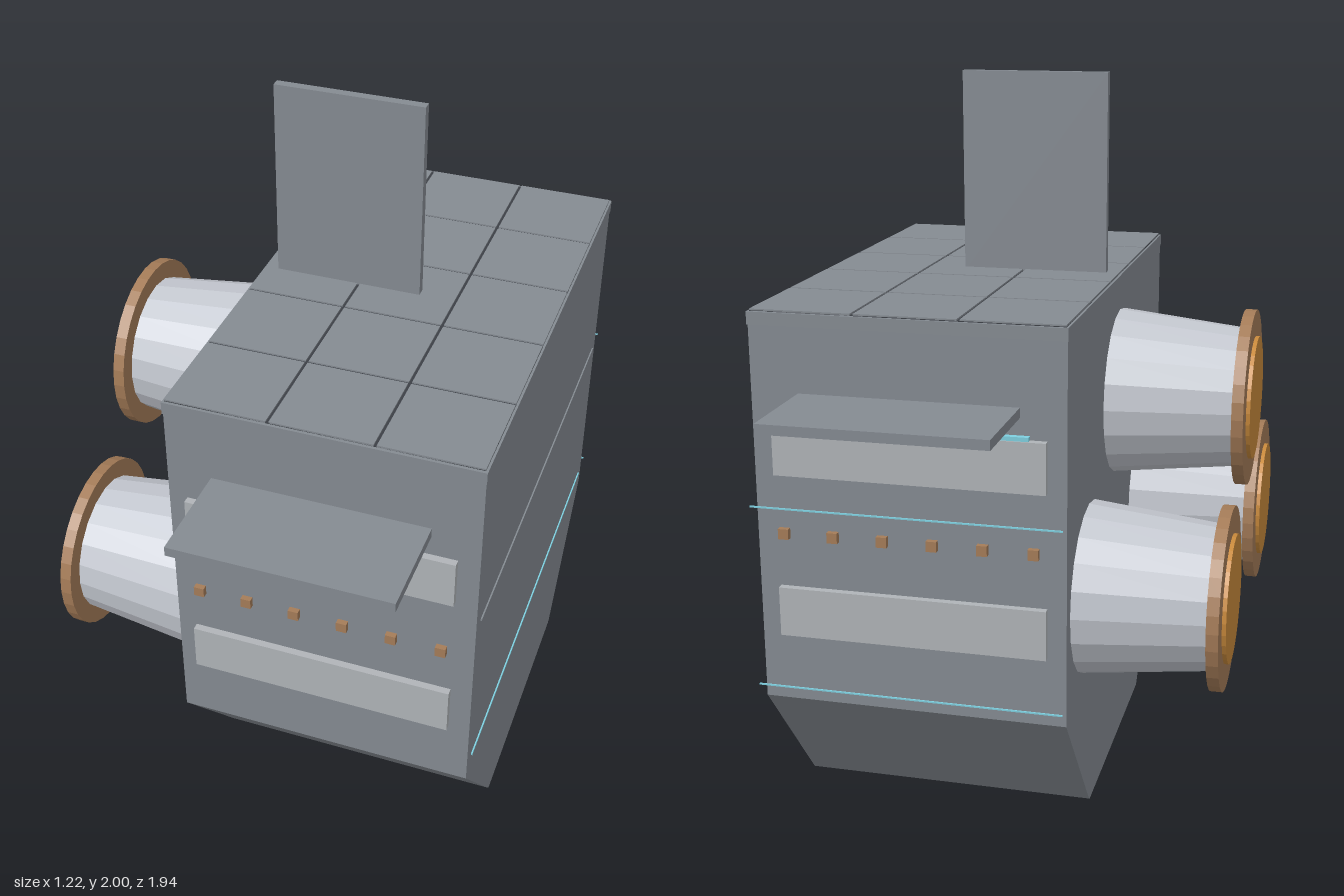
import * as THREE from 'three';

const mat = (color) => new THREE.MeshStandardMaterial({ color, flatShading: true });

export function createModel() {
  const model = new THREE.Group();
  const hullGrey = mat(0x858b92), panelGrey = mat(0xb0b4b8), nozzleGrey = mat(0xc4c8d0);
  const seamDark = mat(0x3c4046), bronze = mat(0xa57c58), amber = mat(0xc98a3c), cyan = mat(0x7fd0e0);

  const add = (name, geometry, material, parent = model) => {
    const mesh = new THREE.Mesh(geometry, material);
    mesh.name = name;
    parent.add(mesh);
    return mesh;
  };
  // Box given by its minimum and maximum on each axis
  const box = (name, material, [x0, x1], [y0, y1], [z0, z1], parent) => {
    const mesh = add(name, new THREE.BoxGeometry(x1 - x0, y1 - y0, z1 - z0), material, parent);
    mesh.position.set((x0 + x1) / 2, (y0 + y1) / 2, (z0 + z1) / 2);
    return mesh;
  };

  const X = [-0.22, 0.607];
  const width = X[1] - X[0];

  // Main hull and tapered keel
  box('hull', hullGrey, X, [0.39, 1.44], [-0.69, 0.69]);
  const keelShape = new THREE.Shape([
    [-0.69, 0.39], [-0.69, 0.385], [-0.385, 0.008], [-0.375, 0.003],
    [0.375, 0.003], [0.385, 0.008], [0.69, 0.385], [0.69, 0.39],
  ].map(([z, y]) => new THREE.Vector2(z, y)));
  const keel = new THREE.ExtrudeGeometry(keelShape, { depth: width, bevelEnabled: false });
  keel.rotateY(-Math.PI / 2).translate(X[1], 0, 0);
  add('keel', keel, hullGrey);
  box('keelStrip', cyan, [X[0] + 0.02, X[1] - 0.02], [0, 0.006], [-0.025, 0.025]);

  // Roof border and tiles divided by dark seams
  box('roofBorder', hullGrey, [X[0] - 0.002, X[1] + 0.002], [1.41, 1.444], [-0.694, 0.694]);
  box('roofSeams', seamDark, [X[0] + 0.004, X[1] - 0.004], [1.44, 1.446], [-0.686, 0.686]);
  const tileX = width / 3, tileZ = 1.38 / 5, gap = 0.004;
  for (let i = 0; i < 3; i++) {
    for (let j = 0; j < 5; j++) {
      const x = X[0] + i * tileX, z = -0.69 + j * tileZ;
      box('roofTile', hullGrey, [x + gap, x + tileX - gap], [1.44, 1.45], [z + gap, z + tileZ - gap]);
    }
  }

  // Upright fin
  box('fin', hullGrey, [-0.18, 0.23], [1.44, 2], [-0.013, 0.013]);

  // Matching equipment on the front and back walls
  for (const side of [1, -1]) {
    const group = new THREE.Group();
    group.name = side > 0 ? 'frontWall' : 'backWall';
    const depth = (a, b) => (side > 0 ? [a, b] : [-b, -a]);
    box('wing', hullGrey, [-0.1, 0.48], [1.211, 1.237], depth(0.685, 0.97), group);
    for (const y of [0.575, 1.02]) {
      box('wallPanel', panelGrey, [-0.17, 0.55], [y, y + 0.135], depth(0.685, 0.71), group);
    }
    for (let i = 0; i < 6; i++) {
      const x = -0.14 + i * 0.133;
      box('lamp', bronze, [x - 0.014, x + 0.014], [0.851, 0.879], depth(0.708, 0.724), group);
    }
    for (const x of [-0.125, 0.098]) {
      box('panelLight', cyan, [x, x + 0.08], [1.154, 1.166], depth(0.69, 0.706), group);
    }
    model.add(group);
  }

  // Fine lines along the left wall and rails behind the back wall
  for (const y of [0.44, 0.94]) {
    box('sideLine', y < 0.5 ? cyan : hullGrey, [0.6, 0.611], [y - 0.003, y + 0.003], [-0.65, 0.65]);
    box('backRail', cyan, X, [y - 0.002, y + 0.002], [-0.739, -0.735]);
  }

  // Engines pointing to the right, the middle one raised
  for (const [y, z] of [[0.67, -0.417], [1.11, 0], [0.67, 0.417]]) {
    const engine = new THREE.Group();
    engine.name = 'engine';
    engine.position.set(0, y, z);
    const ring = (name, x0, x1, r0, r1, sides, material) => {
      const geometry = new THREE.CylinderGeometry(r0, r1, x1 - x0, sides);
      geometry.rotateZ(Math.PI / 2).translate((x0 + x1) / 2, 0, 0);
      add(name, geometry, material, engine);
    };
    ring('nozzle', -0.575, -0.21, 0.195, 0.236, 20, nozzleGrey);
    ring('nozzleRim', -0.602, -0.57, 0.247, 0.247, 32, bronze);
    ring('nozzleGlow', -0.613, -0.6, 0.173, 0.173, 32, amber);
    model.add(engine);
  }

  return model;
}
